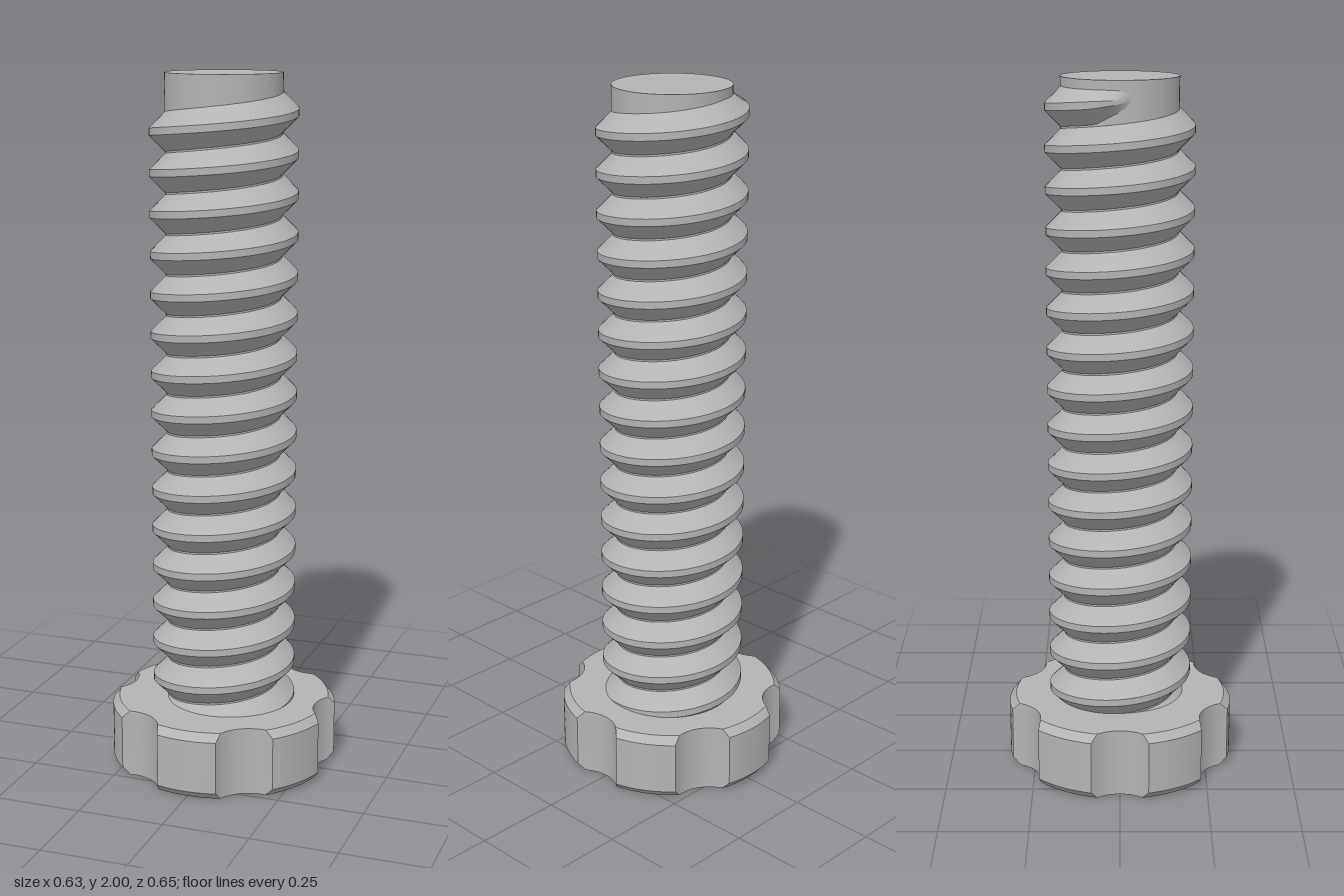
import * as THREE from 'three';
import { toCreasedNormals } from 'three/addons/utils/BufferGeometryUtils.js';

const TAU = Math.PI * 2;

// Angle 0 is +z, turning towards +x.
const polar = (r, a, y) => [r * Math.sin(a), y, r * Math.cos(a)];

// Skin a grid of points; each row runs left to right, rows go bottom to top.
function skin(rows, caps) {
  const pos = [];
  const tri = (a, b, c) => pos.push(...a, ...b, ...c);
  for (let j = 0; j < rows.length - 1; j++) {
    for (let i = 0; i < rows[j].length - 1; i++) {
      const a = rows[j][i], b = rows[j][i + 1];
      const c = rows[j + 1][i + 1], d = rows[j + 1][i];
      tri(a, b, c);
      tri(a, c, d);
    }
  }
  if (caps) {
    const low = rows[0], high = rows[rows.length - 1];
    for (let i = 0; i < low.length - 1; i++) {
      tri([0, low[0][1], 0], low[i + 1], low[i]);
      tri([0, high[0][1], 0], high[i], high[i + 1]);
    }
  }
  const geo = new THREE.BufferGeometry();
  geo.setAttribute('position', new THREE.Float32BufferAttribute(pos, 3));
  geo.computeVertexNormals();
  return toCreasedNormals(geo, 0.5);
}

// Round outline of radius R with six circular scallops cut into it.
function scallopedRing(R, y) {
  const c = 0.389, r = 0.109, points = [];
  const beta = Math.acos((R * R + c * c - r * r) / (2 * R * c));
  const alpha = Math.acos((c * c + r * r - R * R) / (2 * c * r));
  for (let k = 0; k < 6; k++) {
    const mid = Math.PI / 2 + k * TAU / 6;
    for (let i = 0; i <= 14; i++) {
      const t = alpha * (i / 7 - 1);
      const out = c - r * Math.cos(t), side = r * Math.sin(t);
      points.push(polar(Math.hypot(out, side), mid + Math.atan2(side, out), y));
    }
    for (let i = 1; i < 12; i++) {
      points.push(polar(R, mid + beta + (TAU / 6 - 2 * beta) * i / 12, y));
    }
  }
  points.push(points[0]);
  return points;
}

// Helical ridge: flat crest with sloping flanks, fading out at the top.
function threadGeometry() {
  const pitch = 0.113, core = 0.162, crest = 0.207;
  const start = -15.3 * TAU, end = 0.78 * TAU, steps = 16 * 56;
  const profile = [[0, -0.055], [1, -0.01], [1, 0.01], [0, 0.055]];
  const rows = profile.map(() => []);
  for (let i = 0; i <= steps; i++) {
    const a = start + (end - start) * i / steps;
    const fade = Math.min(1, (end - a) / 0.6);
    profile.forEach(([h, dy], j) => {
      const y = 1.86 + pitch * a / TAU + dy * (0.3 + 0.7 * fade);
      rows[j].push(polar(core + (crest - core) * h * fade, a, Math.min(y, 1.975)));
    });
  }
  return skin(rows, false);
}

export function createModel() {
  const group = new THREE.Group();
  const steel = new THREE.MeshStandardMaterial({ color: 0xb4b4b4 });
  steel.name = 'grey steel';
  const add = (name, geo) => {
    const mesh = new THREE.Mesh(geo, steel);
    mesh.name = name;
    group.add(mesh);
    return mesh;
  };

  // Scalloped head with chamfered rims
  add('head', skin([
    scallopedRing(0.308, 0),
    scallopedRing(0.327, 0.022),
    scallopedRing(0.327, 0.175),
    scallopedRing(0.308, 0.197),
  ], true));

  // Plain core that shows as the tip
  add('shaft', new THREE.CylinderGeometry(0.163, 0.163, 1.9, 64)).position.y = 1.05;

  // Screw thread around the core
  add('thread', threadGeometry());

  return group;
}
